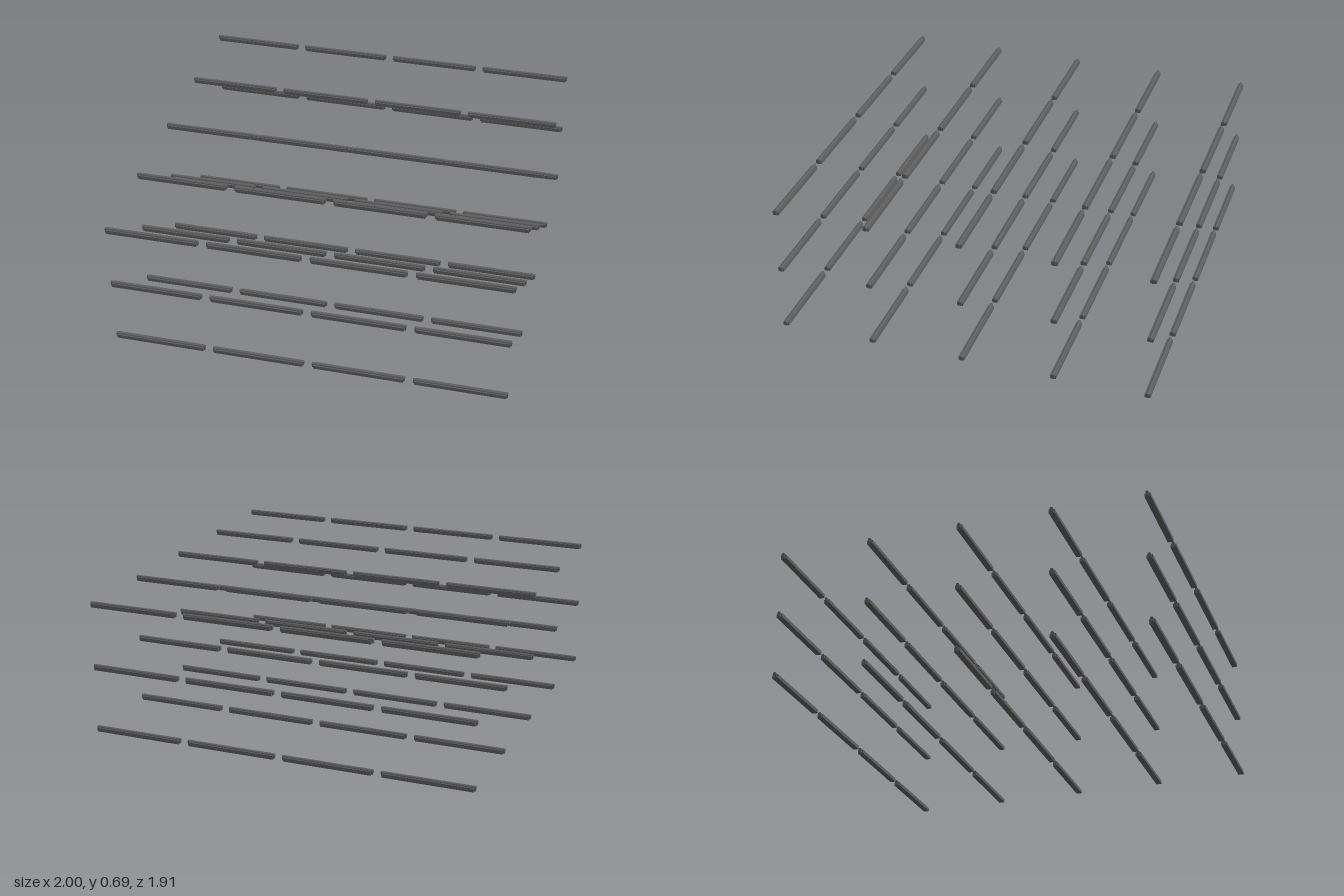
import * as THREE from 'three';

// Grid of slim batten lamps: 4 along x, 5 rows in z, 3 levels in y
export function createModel() {
  const group = new THREE.Group();
  group.name = 'lampArray';
  const material = new THREE.MeshStandardMaterial({ color: 0x606060 });

  const housingGeo = new THREE.BoxGeometry(0.454, 0.019, 0.03);
  const tubeGeo = new THREE.CylinderGeometry(0.008, 0.008, 0.47, 12).rotateZ(Math.PI / 2);
  const capGeo = new THREE.BoxGeometry(0.008, 0.017, 0.016);

  function addPart(lamp, name, geometry, x, y) {
    const mesh = new THREE.Mesh(geometry, material);
    mesh.name = name;
    mesh.position.set(x, y, 0);
    lamp.add(mesh);
  }

  function makeLamp() {
    const lamp = new THREE.Group();
    lamp.name = 'lamp';
    // flat housing
    addPart(lamp, 'housing', housingGeo, 0, 0.0095);
    // round tube along the top, slightly longer than the housing
    addPart(lamp, 'tube', tubeGeo, 0, 0.02);
    // narrow holders under the tube ends
    for (const side of [-1, 1]) addPart(lamp, 'endCap', capGeo, side * 0.23, 0.0115);
    return lamp;
  }

  for (let level = 0; level < 3; level++) {
    for (let row = -2; row <= 2; row++) {
      for (let i = 0; i < 4; i++) {
        const lamp = makeLamp();
        lamp.position.set((i - 1.5) * 0.51, level * 0.33, row * 0.47);
        group.add(lamp);
      }
    }
  }
  return group;
}
